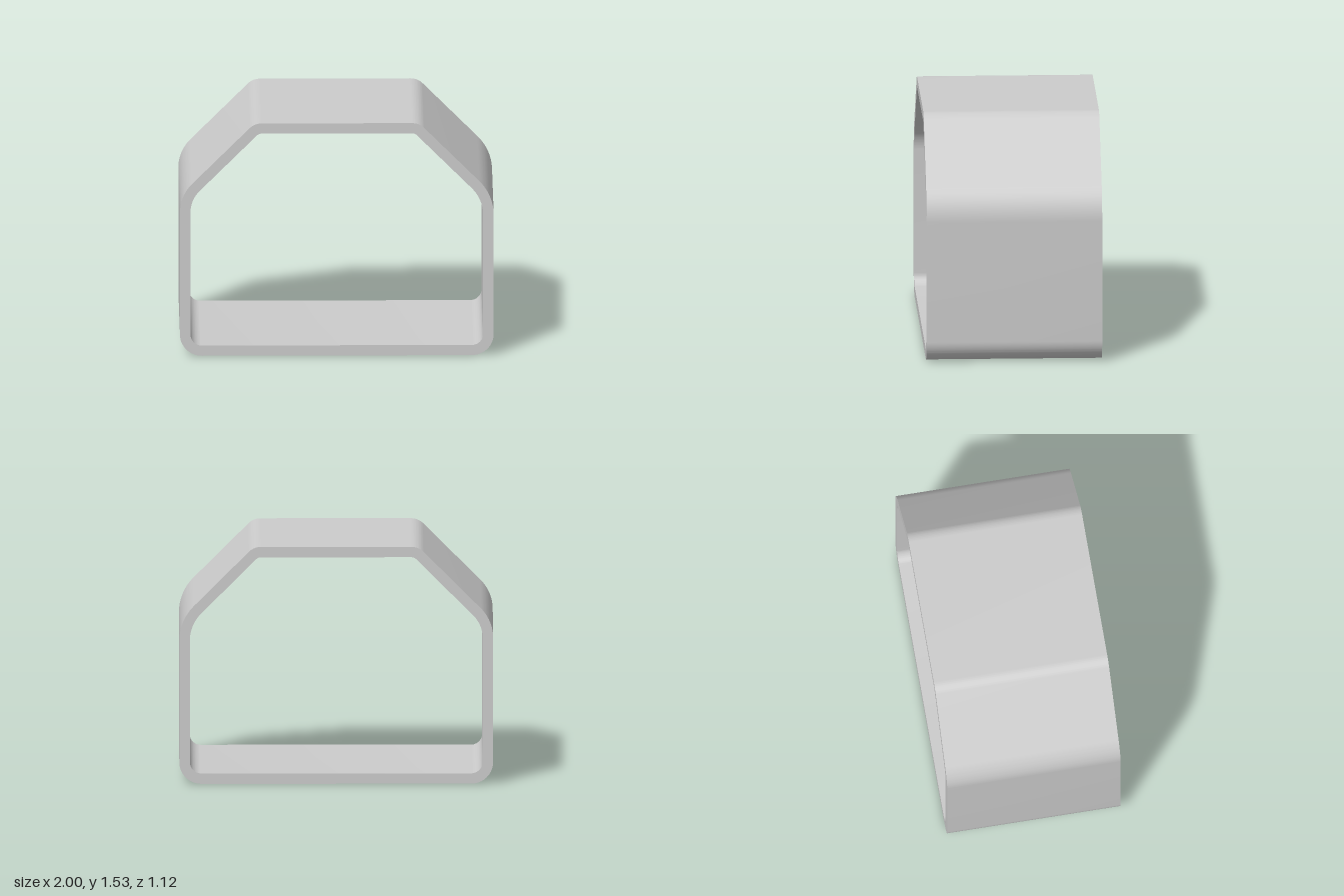
import * as THREE from 'three';
import { toCreasedNormals } from 'three/addons/utils/BufferGeometryUtils.js';

const DEPTH = 1.12, HEIGHT = 1.53, WALL = 0.067;
const SHOULDER_Y = 1.055, TOP_X = 0.525; // sharp corners before rounding
const TAN = Math.tan(Math.PI / 8);

// Traces the rounded outline, moved inwards by inset
function traceOutline(path, inset) {
  const deg = Math.PI / 180;
  const base = 0.14, right = 0.32, left = 0.27, top = 0.11;
  // centre x, centre y, outer radius, start angle, end angle
  const corners = [
    [-1 + base, base, base, 180, 270],
    [1 - base, base, base, 270, 360],
    [1 - right, SHOULDER_Y - TAN * right, right, 0, 45],
    [TOP_X - TAN * top, HEIGHT - top, top, 45, 90],
    [-TOP_X + TAN * top, HEIGHT - top, top, 90, 135],
    [-1 + left, SHOULDER_Y - TAN * left, left, 135, 180],
  ];
  for (const [x, y, r, a, b] of corners) path.absarc(x, y, r - inset, a * deg, b * deg, false);
  path.closePath();
  return path;
}

export function createModel() {
  const group = new THREE.Group();
  group.name = 'tunnelFrame';

  // Open-ended sleeve with an even wall thickness
  const section = traceOutline(new THREE.Shape(), 0);
  section.holes.push(traceOutline(new THREE.Path(), WALL));
  const geometry = new THREE.ExtrudeGeometry(section, { depth: DEPTH, bevelEnabled: false, curveSegments: 12 });
  geometry.translate(0, 0, -DEPTH / 2);

  const sleeve = new THREE.Mesh(
    toCreasedNormals(geometry, 0.5),
    new THREE.MeshStandardMaterial({ color: 0xcccccc })
  );
  sleeve.name = 'sleeve';
  group.add(sleeve);
  return group;
}
